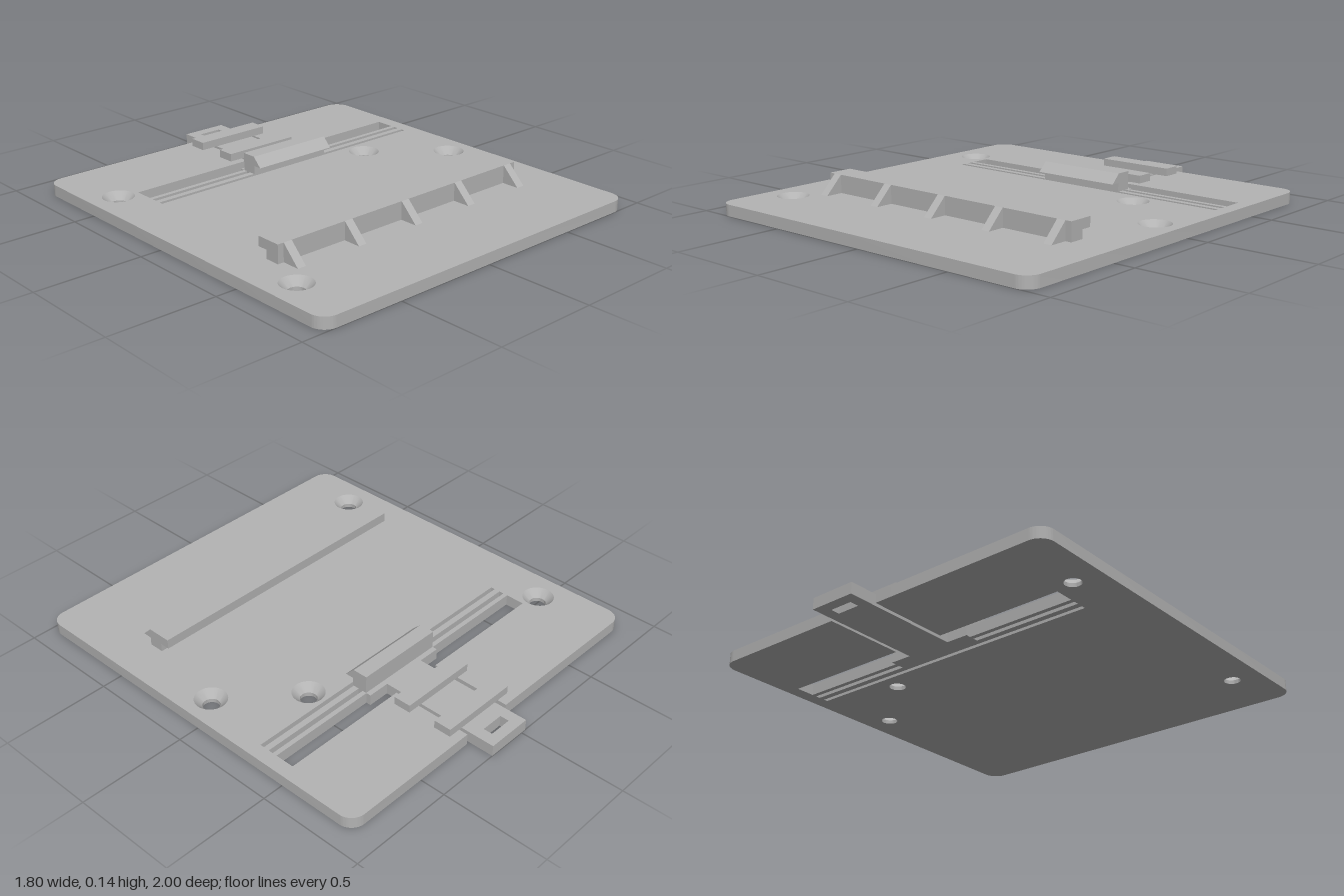
import * as THREE from 'three';
import { toCreasedNormals } from 'three/addons/utils/BufferGeometryUtils.js';

const T = 0.053; // plate thickness
const TOP = 0.138; // top of the hooks
const LIP = 0.093; // underside of the hook lips

export function createModel() {
  const group = new THREE.Group();
  const grey = new THREE.MeshStandardMaterial({ color: 0xb3b3b3 });
  grey.name = 'grey plastic';

  const add = (name, geometry, x = 0, y = 0, z = 0) => {
    const mesh = new THREE.Mesh(geometry, grey);
    mesh.name = name;
    mesh.position.set(x, y, z);
    group.add(mesh);
  };

  // Rectangular hole in plan, given in x and z
  const rectHole = (x0, x1, z0, z1) => new THREE.Path([
    [x0, -z0], [x0, -z1], [x1, -z1], [x1, -z0], [x0, -z0],
  ].map(([x, y]) => new THREE.Vector2(x, y)));

  // Side profile of (z, y) points, extruded along x between x0 and x1
  const profile = (points, x0, x1) => {
    const shape = new THREE.Shape(points.map(([z, y]) => new THREE.Vector2(z, y)));
    const g = new THREE.ExtrudeGeometry(shape, { depth: x1 - x0, bevelEnabled: false });
    return g.rotateY(-Math.PI / 2).translate(x1, 0, 0);
  };

  // Base plate outline, with the sliding tongue cut free by the back slots
  const r = 0.07;
  const plate = new THREE.Shape();
  plate.moveTo(-0.9 + r, -1);
  plate.lineTo(0.9 - r, -1);
  plate.absarc(0.9 - r, -1 + r, r, -Math.PI / 2, 0);
  plate.lineTo(0.9, 0.88 - r);
  plate.absarc(0.9 - r, 0.88 - r, r, 0, Math.PI / 2);
  [
    [0.21, 0.88], [0.21, 0.493], [0.833, 0.493], [0.833, 0.402], [0.3, 0.402],
    [0.3, 0.425], [0.194, 0.425], [0.194, 1], [-0.026, 1], [-0.026, 0.425],
    [-0.135, 0.425], [-0.135, 0.402], [-0.67, 0.402], [-0.67, 0.493],
    [-0.045, 0.493], [-0.045, 0.88],
  ].forEach(([x, y]) => plate.lineTo(x, y));
  plate.lineTo(-0.9 + r, 0.88);
  plate.absarc(-0.9 + r, 0.88 - r, r, Math.PI / 2, Math.PI);
  plate.lineTo(-0.9, -1 + r);
  plate.absarc(-0.9 + r, -1 + r, r, Math.PI, Math.PI * 1.5);

  // Spring slits and finger slot
  plate.holes.push(
    rectHole(-0.67, -0.135, -0.38, -0.357),
    rectHole(0.3, 0.833, -0.38, -0.357),
    rectHole(-0.67, 0.833, -0.329, -0.309),
    rectHole(0.027, 0.138, -0.95, -0.907),
  );

  // Countersunk screw holes, each lined with a lathe ring
  const screws = [[-0.762, -0.513], [0.463, -0.218], [0.775, 0.053], [-0.762, 0.697]];
  const ring = toCreasedNormals(new THREE.LatheGeometry(
    [[0.073, T], [0.038, 0.018], [0.038, 0], [0.073, 0]].map(([x, y]) => new THREE.Vector2(x, y)), 32), 0.5);
  for (const [x, z] of screws) {
    const hole = new THREE.Path();
    hole.absarc(x, -z, 0.073, 0, Math.PI * 2, true);
    plate.holes.push(hole);
    add('countersink', ring, x, 0, z);
  }
  const plateGeometry = new THREE.ExtrudeGeometry(plate, { depth: T, bevelEnabled: false, curveSegments: 16 });
  add('basePlate', toCreasedNormals(plateGeometry.rotateX(-Math.PI / 2), 0.5));

  // Guide bars across the tongue
  for (const z of [-0.794, -0.575]) {
    add('guideBar', new THREE.BoxGeometry(0.38, 0.037, 0.084), 0.08, T + 0.0185, z);
  }

  // Spring latch with a sloping nose
  add('latchHook', profile([
    [-0.4, T], [-0.325, T], [-0.325, LIP], [-0.283, LIP], [-0.328, TOP], [-0.4, TOP],
  ], -0.135, 0.3));

  // Fixed front ledge
  add('frontLedge', profile([
    [0.45, T], [0.521, T], [0.521, TOP], [0.402, TOP], [0.402, LIP], [0.45, LIP],
  ], -0.707, 0.707));

  // Triangular ribs bracing the ledge
  for (let i = -2; i <= 2; i++) {
    const x = i * 0.328;
    add('rib', profile([[0.521, T], [0.606, T], [0.521, TOP]], x - 0.021, x + 0.021));
  }
  return group;
}
